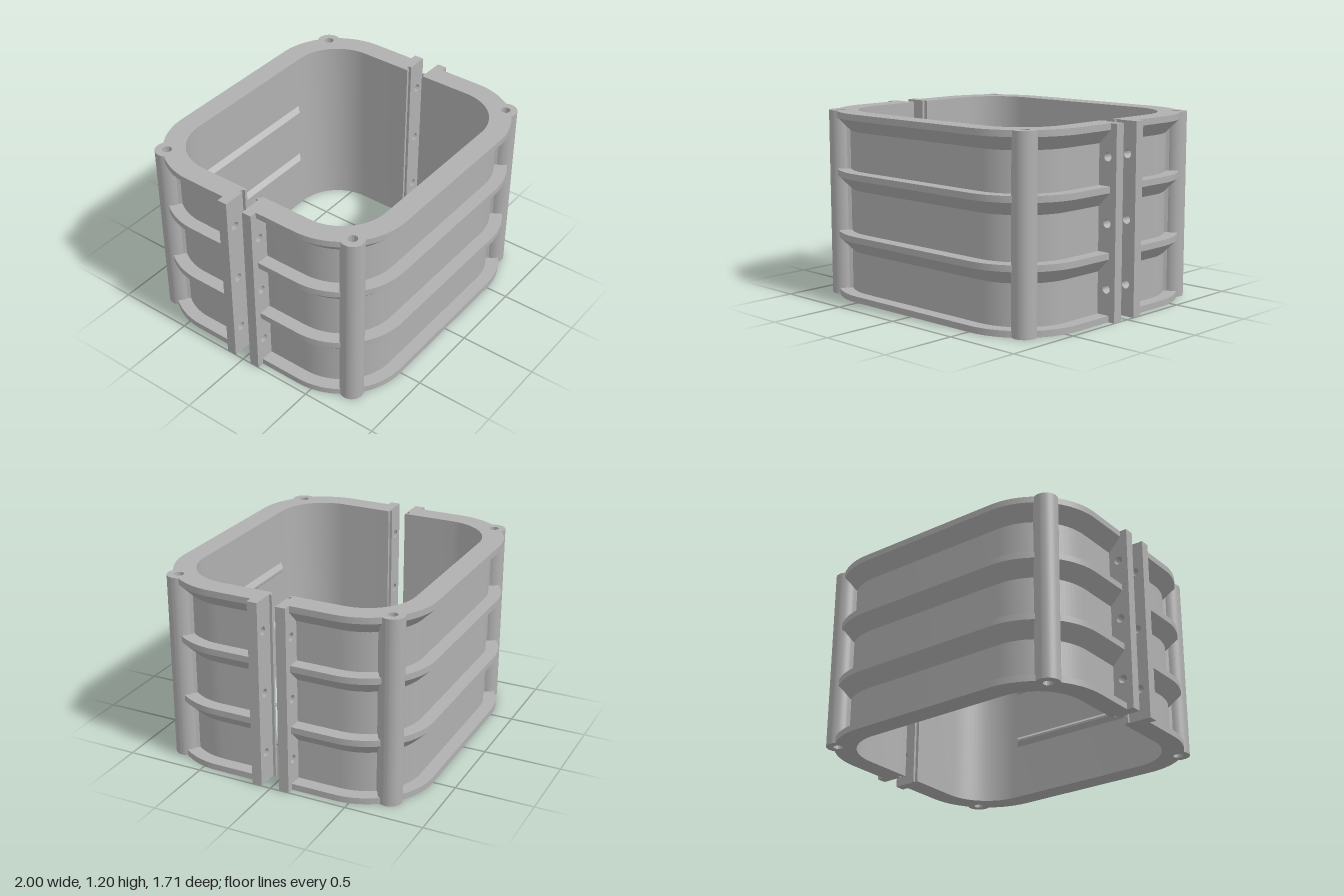
import * as THREE from 'three';
import { toCreasedNormals } from 'three/addons/utils/BufferGeometryUtils.js';

const H = 1.2;                     // full height
const CX = 0.505, CZ = 0.405;      // corner arc centres
const R_IN = 0.31, R_WALL = 0.365, R_RIB = 0.45;
const Z0 = 0.06, Z1 = 0.125;       // joint flange, front and back
const POST = 0.3;                  // post offset from the arc centre

// Stations around one half, from the +x side over the front to the -x side.
function stations(a0, a1) {
  const list = [];
  const arc = (from, to, cx) => {
    if (to <= from) return;
    const n = Math.max(2, Math.ceil((to - from) / 5));
    for (let i = 0; i <= n; i++) {
      const a = THREE.MathUtils.degToRad(from + (to - from) * i / n);
      list.push([cx, CZ, Math.cos(a), Math.sin(a)]);
    }
  };
  if (a0 === 0) list.push([CX, Z1 - 0.005, 1, 0]);
  arc(a0, Math.min(a1, 90), CX);
  arc(Math.max(a0, 90), a1, -CX);
  if (a1 === 180) list.push([-CX, Z1 - 0.005, -1, 0]);
  return list;
}

// Sweeps a convex (radius, height) profile along the stations, with end caps.
function sweep(profile, path) {
  const pos = [];
  const at = (i, j) => {
    const [cx, cz, nx, nz] = path[i], [r, y] = profile[j % profile.length];
    return [cx + nx * r, y, cz + nz * r];
  };
  const tri = (a, b, c) => pos.push(...a, ...b, ...c);
  const last = path.length - 1;
  for (let i = 0; i < last; i++) {
    for (let j = 0; j < profile.length; j++) {
      const a = at(i, j), b = at(i, j + 1), c = at(i + 1, j + 1), d = at(i + 1, j);
      tri(a, b, c);
      tri(a, c, d);
    }
  }
  for (let j = 1; j < profile.length - 1; j++) {
    tri(at(0, 0), at(0, j + 1), at(0, j));
    tri(at(last, 0), at(last, j), at(last, j + 1));
  }
  const geo = new THREE.BufferGeometry();
  geo.setAttribute('position', new THREE.Float32BufferAttribute(pos, 3));
  return toCreasedNormals(geo, 0.4);
}

function extrude(shape, depth) {
  const geo = new THREE.ExtrudeGeometry(shape, { depth, bevelEnabled: false, curveSegments: 32 });
  return toCreasedNormals(geo, 0.4);
}

function circleHole(x, y, r) {
  return new THREE.Path().absarc(x, y, r, 0, Math.PI * 2, true);
}

function boxBetween(x0, x1, y0, y1, z0, z1) {
  return new THREE.BoxGeometry(x1 - x0, y1 - y0, z1 - z0)
    .translate((x0 + x1) / 2, (y0 + y1) / 2, (z0 + z1) / 2);
}

function createHalf(name, material, hasTongue) {
  const half = new THREE.Group();
  half.name = name;
  const add = (partName, geo) => {
    const mesh = new THREE.Mesh(geo, material);
    mesh.name = partName;
    half.add(mesh);
    return mesh;
  };

  // Thin curved wall
  add('wall', sweep([[R_IN, 0], [R_WALL, 0], [R_WALL, H], [R_IN, H]], stations(0, 180)));

  // Outer ribs, broken at the posts so the post bores stay open
  const spans = [[0, 38], [52, 128], [142, 180]];
  const r = R_WALL - 0.005;
  for (const top of [0.04, 0.425, 0.825, H]) {
    const profile = top < 0.1
      ? [[r, 0], [R_RIB, 0], [R_RIB, top], [r, top]]
      : [[r, top - 0.13], [R_RIB, top - 0.04], [R_RIB, top], [r, top]];
    for (const [a0, a1] of spans) add('rib', sweep(profile, stations(a0, a1)));
  }

  // Hollow corner posts with webs to the wall
  const ring = new THREE.Shape().absarc(0, 0, 0.075, 0, Math.PI * 2, false);
  ring.holes.push(circleHole(0, 0, 0.03));
  const postGeo = extrude(ring, H).rotateX(-Math.PI / 2);
  const webGeo = new THREE.BoxGeometry(0.125, H, 0.045).translate(0, H / 2, 0.3625);
  for (const s of [1, -1]) {
    add('cornerPost', postGeo).position.set(s * (CX + POST), 0, CZ + POST);
    const web = add('postWeb', webGeo);
    web.position.set(s * CX, 0, CZ);
    web.rotation.y = s * Math.PI / 4;
  }

  // Bolted joint flanges with a tongue or a groove
  for (const s of [1, -1]) {
    const x0 = s > 0 ? 0.86 : -1, x1 = s > 0 ? 1 : -0.86;
    const plate = new THREE.Shape([
      new THREE.Vector2(x0, 0), new THREE.Vector2(x1, 0),
      new THREE.Vector2(x1, H), new THREE.Vector2(x0, H),
    ]);
    for (const y of [0.2, 0.6, 1]) plate.holes.push(circleHole(s * 0.935, y, 0.027));
    add('jointFlange', extrude(plate, Z1 - Z0).translate(0, 0, Z0));
    const strip = (partName, a, b, z0, z1) =>
      add(partName, boxBetween(Math.min(s * a, s * b), Math.max(s * a, s * b), 0, H, z0, z1));
    strip('jointInnerEdge', 0.815, 0.833, Z0, Z1);
    strip('jointCore', 0.833, 0.86, hasTongue ? Z0 : Z0 + 0.02, Z1);
    if (hasTongue) strip('jointTongue', 0.836, 0.853, 0.043, Z0);
  }

  // Tapered ledges on the inner face
  const ledge = new THREE.BoxGeometry(0.95, 0.07, 0.032);
  const p = ledge.attributes.position;
  for (let i = 0; i < p.count; i++) {
    if (p.getZ(i) < 0) p.setXY(i, p.getX(i) * 0.935, p.getY(i) * 0.2);
  }
  ledge.computeVertexNormals();
  for (const y of [0.4, 0.8]) add('innerLedge', ledge).position.set(0, y, 0.699);

  return half;
}

export function createModel() {
  const grey = new THREE.MeshStandardMaterial({ color: 0xb0b0b0 });
  grey.name = 'light grey';
  const model = new THREE.Group();
  model.name = 'splitMouldBox';
  const front = createHalf('frontHalf', grey, true);
  const back = createHalf('backHalf', grey, false);
  back.rotation.y = Math.PI;
  model.add(front, back);
  return model;
}
